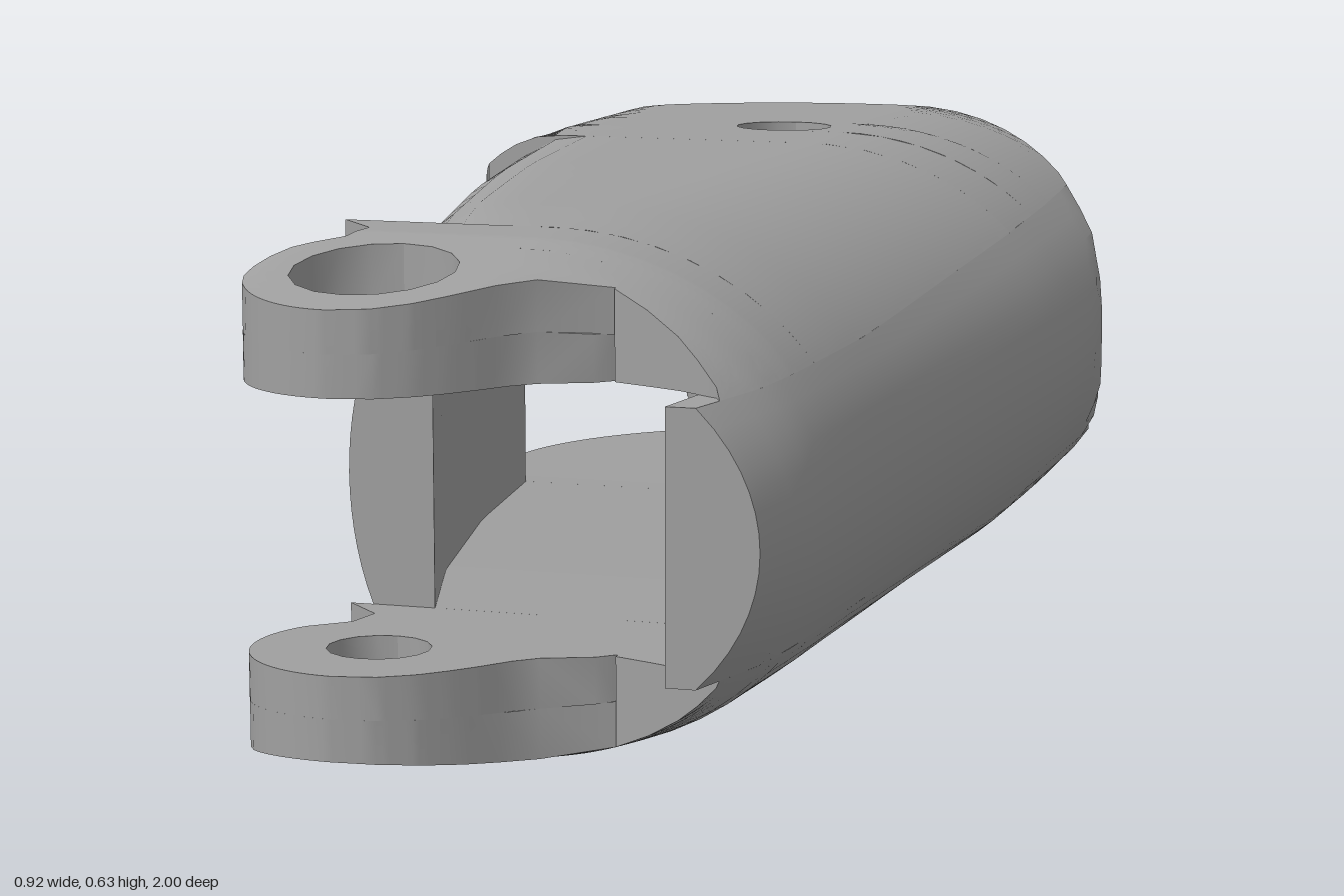
import * as THREE from 'three';
import { toCreasedNormals } from 'three/addons/utils/BufferGeometryUtils.js';

const MID = 0.317;          // height of the mirror plane
const AR = 0.38, AL = 0.2;  // width of the rounding on the right and left flanks
const WALL = 0.11;

// piecewise linear curve through [z, value] points
const curve = (pts) => (z) => {
  if (z <= pts[0][0]) return pts[0][1];
  for (let i = 1; i < pts.length; i++) {
    const [z0, v0] = pts[i - 1], [z1, v1] = pts[i];
    if (z <= z1) return v0 + (v1 - v0) * (z - z0) / (z1 - z0);
  }
  return pts[pts.length - 1][1];
};
const halfChord = (r, d) => Math.sqrt(Math.max(0, r * r - d * d));

// half heights of the outside and of the cavity
const outerH = curve([[-1, 0.308], [-0.5, 0.315], [0.5, 0.317], [0.7, 0.31], [0.85, 0.285], [1, 0.26]]);
const innerH = curve([[-1, 0.215], [-0.4, 0.2], [0.4, 0.165], [1, 0.16]]);

// plan outline
const flankR = curve([[-0.6, 0.46], [-0.35, 0.455], [0, 0.43], [0.4, 0.405], [0.8, 0.385], [0.94, 0.36]]);
const flankL = curve([[-0.35, -0.46], [0, -0.405], [0.4, -0.315], [0.62, -0.25]]);
const neckL = curve([[0.62, -0.25], [0.67, -0.2], [0.72, -0.21], [0.76, -0.254]]);
const notchL = curve([[0.81, 0.15], [0.83, 0.08], [0.86, 0.045], [0.9, 0.015], [0.93, -0.01],
  [0.96, -0.04], [0.985, -0.08], [0.995, -0.13]]);
const notchR = curve([[0.81, 0.15], [0.83, 0.22], [0.88, 0.3], [0.94, 0.36]]);
const planR = (z) => (z < -0.55 ? 0.01 + halfChord(0.45, z + 0.55) : flankR(z));
const planL = (z) => {
  if (z < -0.35) return z < -0.55 ? 0.01 - halfChord(0.45, z + 0.55) : -halfChord(0.45, z + 0.55);
  if (z < 0.62) return flankL(z);
  return z < 0.76 ? neckL(z) : -0.13 - halfChord(0.15, z - 0.845);
};
const crownL = (z) => (z < -0.35 ? -0.5 : z < 0.62 ? flankL(z) : -0.45);

// how far a flank falls back at height y
const drop = (a, y, z) => a * (1 - Math.sqrt(Math.max(0, 1 - (y / outerH(z)) ** 2)));
const sideR = (y, z) => Math.min(planR(z), flankR(z) - drop(AR, y, z));
const sideL = (y, z) => Math.max(planL(z), crownL(z) + drop(AL, y, z));
const edgeR = (z) => sideR(innerH(z), z);
const edgeL = (z) => sideL(innerH(z), z);
const crown = (x, z) => {
  const u = Math.max(0, (x - flankR(z) + AR) / AR, (crownL(z) + AL - x) / AL);
  return Math.max(innerH(z), outerH(z) * Math.sqrt(Math.max(0, 1 - u * u)));
};

// stations crowded towards both ends
const stations = (a, b, n) =>
  Array.from({ length: n + 1 }, (_, i) => a + (b - a) * (1 - Math.cos(Math.PI * i / n)) / 2);

// solid from closed cross-sections: outer row, then inner row backwards
function loft(rings, flip = false) {
  const n = rings[0].length, pos = rings.flat(2), idx = [];
  const quad = (a, b, c, d) => (flip ? idx.push(a, c, b, a, d, c) : idx.push(a, b, c, a, c, d));
  for (let k = 0; k < rings.length - 1; k++)
    for (let i = 0; i < n; i++) {
      const j = (i + 1) % n, p = k * n, q = p + n;
      quad(p + i, q + i, q + j, p + j);
    }
  const e = (rings.length - 1) * n;
  for (let i = 0; i < n / 2 - 1; i++) {
    const o = n - 1 - i;
    quad(e + i, e + o, e + o - 1, e + i + 1);
    quad(i, i + 1, o - 1, o);
  }
  const g = new THREE.BufferGeometry();
  g.setAttribute('position', new THREE.Float32BufferAttribute(pos, 3));
  g.setIndex(idx);
  return toCreasedNormals(g, 0.6);
}

export function createModel() {
  const grey = new THREE.MeshStandardMaterial({ color: 0xa0a0a0 });
  grey.name = 'grey plastic';
  const model = new THREE.Group();
  model.name = 'fingerSegment';
  const body = new THREE.Group();
  body.name = 'body';
  body.position.y = MID;
  model.add(body);
  const add = (name, geo, parent = body) => {
    const m = new THREE.Mesh(geo, grey);
    m.name = name;
    parent.add(m);
    return m;
  };

  // upper (s = 1) and lower (s = -1) plates
  for (const s of [1, -1]) {
    const plate = new THREE.Group();
    plate.name = s > 0 ? 'upperPlate' : 'lowerPlate';
    body.add(plate);
    // slab between the x edges a(z) and b(z), over the fractions t0..t1 of the plate thickness
    const slab = (name, z0, z1, a, b, t0 = 0, t1 = 1, n = 18) => {
      const rings = stations(z0, z1, n).map((z) => {
        const xb = b(z), xa = Math.min(a(z), xb);
        const xs = stations(xa, xb, 20);
        const row = (t) => xs.map((x) => [x, s * (innerH(z) + t * (crown(x, z) - innerH(z))), z]);
        return [...row(t1), ...row(t0).reverse()];
      });
      add(name, loft(rings, s < 0), plate);
    };
    // slab with a round hole
    const holed = (name, z0, z1, a, b, cx, cz, r, t0, t1) => {
      slab(name, z0, cz - r, a, b, t0, t1);
      slab(name, cz - r, cz + r, a, (z) => cx - halfChord(r, z - cz), t0, t1, 8);
      slab(name, cz - r, cz + r, (z) => cx + halfChord(r, z - cz), b, t0, t1, 8);
      slab(name, cz + r, z1, a, b, t0, t1);
    };
    holed('rearPlate', -1, -0.3501, edgeL, edgeR, -0.02, -0.58, 0.07, 0, 1);
    slab('middlePlate', -0.35, 0.6199, edgeL, edgeR);
    slab('neck', 0.62, 0.74, edgeL, edgeR);
    // front lug with a wide recess over a narrow hole
    holed('frontLug', 0.74, 0.995, edgeL, notchL, -0.13, 0.84, 0.062, 0, 0.5);
    holed('frontLug', 0.74, 0.995, edgeL, notchL, -0.13, 0.84, 0.099, 0.5, 1);
    slab('frontCorner', 0.74, 0.94, notchR, edgeR);
  }

  // side walls
  const wall = (name, z0, z1, side, dir) => {
    const rings = stations(z0, z1, 28).map((z) => {
      const h = innerH(z);
      const ys = Array.from({ length: 15 }, (_, i) => dir * h * (1 - i / 7));
      const outer = ys.map((y) => [side(y, z), y, z]);
      const inner = ys.map((y) => [side(0, z) - dir * WALL, y, z]);
      return [...outer, ...inner.reverse()];
    });
    add(name, loft(rings));
  };
  wall('rightWall', -0.89, 0.94, sideR, 1);
  wall('leftWall', -0.35, 0.6199, sideL, -1);

  // inner knuckle around the rear pin, with two tabs reaching the wall
  const extrude = (shape, y0, y1) => {
    const g = new THREE.ExtrudeGeometry(shape, { depth: y1 - y0, bevelEnabled: false, curveSegments: 20 });
    return toCreasedNormals(g.rotateX(-Math.PI / 2).translate(0, y0, 0), 0.6);
  };
  const hole = (x, y, r) => new THREE.Path().absarc(x, y, r, 0, Math.PI * 2, true);
  const ring = new THREE.Shape().absarc(0, 0.58, 0.163, 0, Math.PI * 2);
  ring.holes.push(hole(-0.02, 0.58, 0.07));
  add('knuckle', extrude(ring, -0.09, 0.09));

  const tab = new THREE.Shape(), t = Math.atan2(0.26, 0.21), q = Math.PI / 2;
  tab.absarc(0, 0.58, 0.16, t + q, t + 3 * q);
  tab.absarc(0.21, 0.83, 0.12, t - q, t + q);
  tab.holes.push(hole(-0.02, 0.58, 0.07), hole(0.21, 0.84, 0.04));
  add('upperTab', extrude(tab, 0.047, 0.089));
  add('lowerTab', extrude(tab, -0.089, -0.047));

  return model;
}
